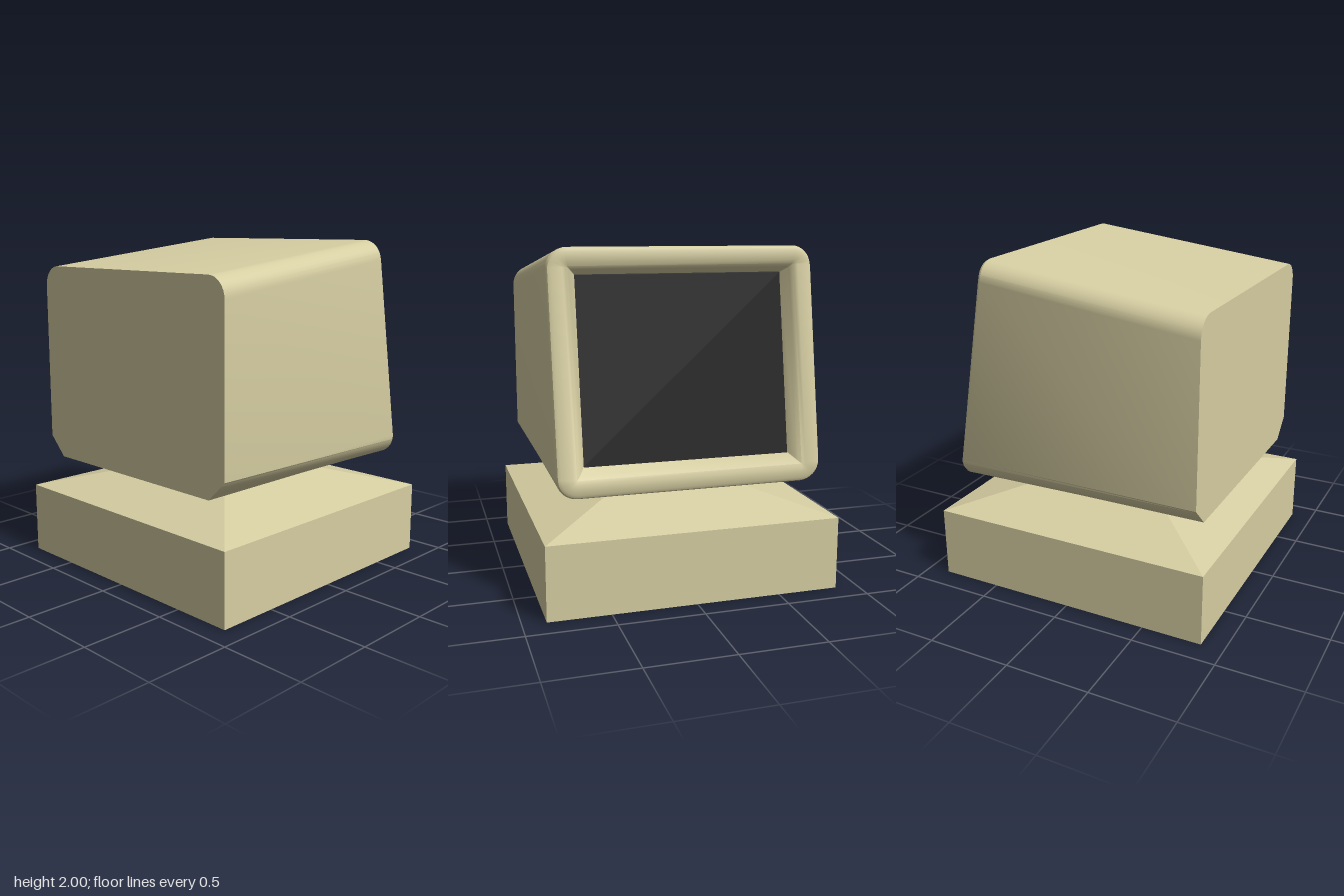
import * as THREE from 'three';
import { toCreasedNormals } from 'three/addons/utils/BufferGeometryUtils.js';

const CORNER_STEPS = 8;

// x of the leaning front face at height y
const frontX = (y) => THREE.MathUtils.clamp(0.575 + (1.9 - y) * 0.174, 0.575, 0.775);

// Rounded rectangle across the body, counter-clockwise seen from +x
function ring({ half, bottom, top, radius, xAt, chamfer = false }) {
  const points = [];
  const corners = [
    [half - radius, top - radius], [radius - half, top - radius],
    [radius - half, bottom + radius], [half - radius, bottom + radius],
  ];
  corners.forEach(([u, v], k) => {
    for (let i = 0; i <= CORNER_STEPS; i++) {
      const t = i / CORNER_STEPS;
      const a = (k + t) * Math.PI / 2;
      let c = Math.cos(a), s = Math.sin(a);
      if (chamfer && k >= 2) { // straight cut across the lower corners
        const a0 = k * Math.PI / 2, a1 = a0 + Math.PI / 2;
        c = Math.cos(a0) * (1 - t) + Math.cos(a1) * t;
        s = Math.sin(a0) * (1 - t) + Math.sin(a1) * t;
      }
      const y = v + s * radius;
      points.push(new THREE.Vector3(xAt(y), y, -(u + c * radius)));
    }
  });
  return points;
}

function geometryFrom(points, index) {
  const geometry = new THREE.BufferGeometry().setFromPoints(points);
  geometry.setIndex(index);
  return toCreasedNormals(geometry, 0.55);
}

// Skin through successive rings, closed by a flat cap at the first one
function loft(rings) {
  const n = rings[0].length;
  const index = [];
  for (let i = 0; i < rings.length - 1; i++) {
    for (let j = 0; j < n; j++) {
      const k = (j + 1) % n;
      const a = i * n + j, b = i * n + k, c = b + n, d = a + n;
      index.push(a, b, c, a, c, d);
    }
  }
  for (let j = 1; j < n - 1; j++) index.push(0, j + 1, j);
  return geometryFrom(rings.flat(), index);
}

// Square frustum given by half widths
function frustum(topHalf, bottomHalf, y0, y1) {
  const geometry = new THREE.CylinderGeometry(
    topHalf * Math.SQRT2, bottomHalf * Math.SQRT2, y1 - y0, 4, 1);
  geometry.rotateY(Math.PI / 4);
  geometry.translate(0, (y0 + y1) / 2, 0);
  return toCreasedNormals(geometry, 0.1);
}

export function createModel() {
  const model = new THREE.Group();
  model.name = 'deskMonitor';
  const casing = new THREE.MeshStandardMaterial({ color: 0xd6cea2 });
  casing.name = 'beige casing';
  const glass = new THREE.MeshStandardMaterial({ color: 0x0c0c0c });
  glass.name = 'black screen';

  const add = (name, geometry, material) => {
    const mesh = new THREE.Mesh(geometry, material);
    mesh.name = name;
    model.add(mesh);
    return mesh;
  };

  // Base block with a sloping top
  const base = new THREE.BoxGeometry(1.73, 0.433, 1.73);
  base.translate(0, 0.2165, 0);
  add('base', base, casing);
  add('baseTop', frustum(0.2, 0.865, 0.433, 0.612), casing);

  // Shallow tapered underside of the housing
  const underside = add('underside', frustum(0.66, 0.2, 0.608, 0.648), casing);
  underside.scale.x = 1.13;
  underside.position.x = -0.02;

  // Housing: back ring, then [inset, depth] steps over the bezel into the recess
  const rings = [ring({
    half: 0.78, bottom: 0.645, top: 1.842, radius: 0.12, xAt: () => -0.78, chamfer: true,
  })];
  const bezel = [
    [0, -0.025], [0.01, -0.008], [0.028, 0], [0.09, 0],
    [0.115, -0.01], [0.135, -0.03], [0.17, -0.085],
  ];
  for (const [inset, depth] of bezel) {
    rings.push(ring({
      half: 0.78 - inset,
      bottom: 0.645 + inset * 0.92,
      top: 2 - inset * 0.89,
      radius: Math.max(0.004, 0.12 - inset),
      xAt: (y) => frontX(y) + depth,
    }));
  }
  add('housing', loft(rings), casing);

  // Screen filling the recess
  const edge = rings[rings.length - 1];
  const index = [];
  for (let j = 1; j < edge.length - 1; j++) index.push(0, j, j + 1);
  add('screen', geometryFrom(edge, index), glass);

  return model;
}
